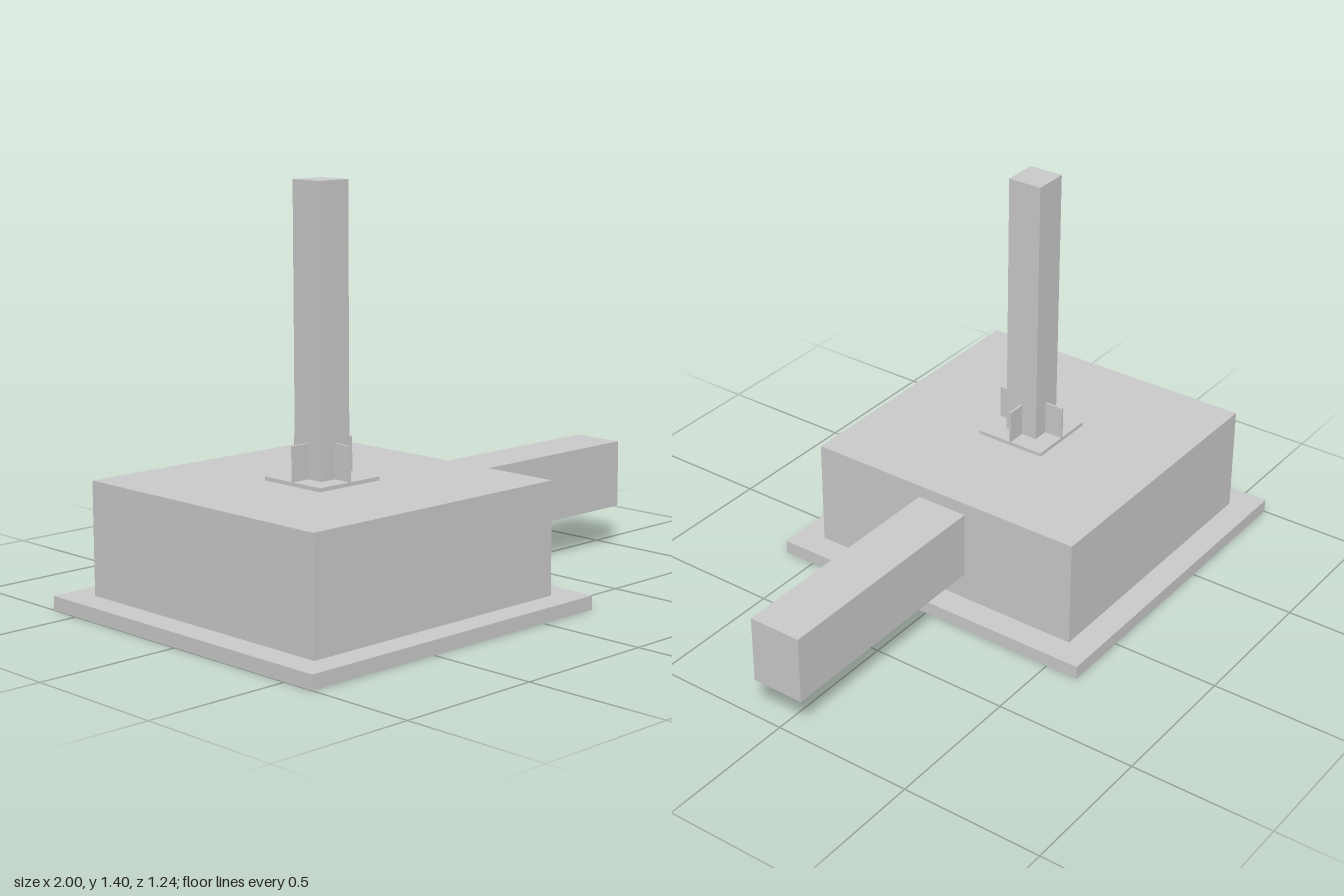
import * as THREE from 'three';

const material = new THREE.MeshStandardMaterial({ color: 0xcccccc, flatShading: true });

// Box given by its extents in x, its extents in y and its depth centred on z = 0
function block(name, x0, x1, y0, y1, depth) {
  const mesh = new THREE.Mesh(new THREE.BoxGeometry(x1 - x0, y1 - y0, depth), material);
  mesh.position.set((x0 + x1) / 2, (y0 + y1) / 2, 0);
  mesh.name = name;
  return mesh;
}

export function createModel() {
  const model = new THREE.Group();
  model.name = 'columnFooting';

  // Everything but the beam is centred on the column axis
  const column = new THREE.Group();
  column.name = 'columnAssembly';
  column.position.x = -0.382;
  model.add(column);

  const centred = (name, width, y0, y1) =>
    column.add(block(name, -width / 2, width / 2, y0, y1, width));
  centred('blindingSlab', 1.236, 0, 0.048);
  centred('footingBlock', 1.046, 0.048, 0.43);
  centred('basePlate', 0.26, 0.43, 0.443);
  centred('columnPost', 0.124, 0.443, 1.398);

  // Four thin stiffener plates around the post
  for (let i = 0; i < 4; i++) {
    const stiffener = new THREE.Group();
    stiffener.name = 'stiffener' + (i + 1);
    stiffener.rotation.y = (i * Math.PI) / 2;
    stiffener.add(block('stiffenerPlate', 0.062, 0.13, 0.443, 0.56, 0.008));
    column.add(stiffener);
  }

  // Tie beam running out to the side
  model.add(block('tieBeam', 0.141, 1, 0.146, 0.385, 0.19));

  return model;
}
